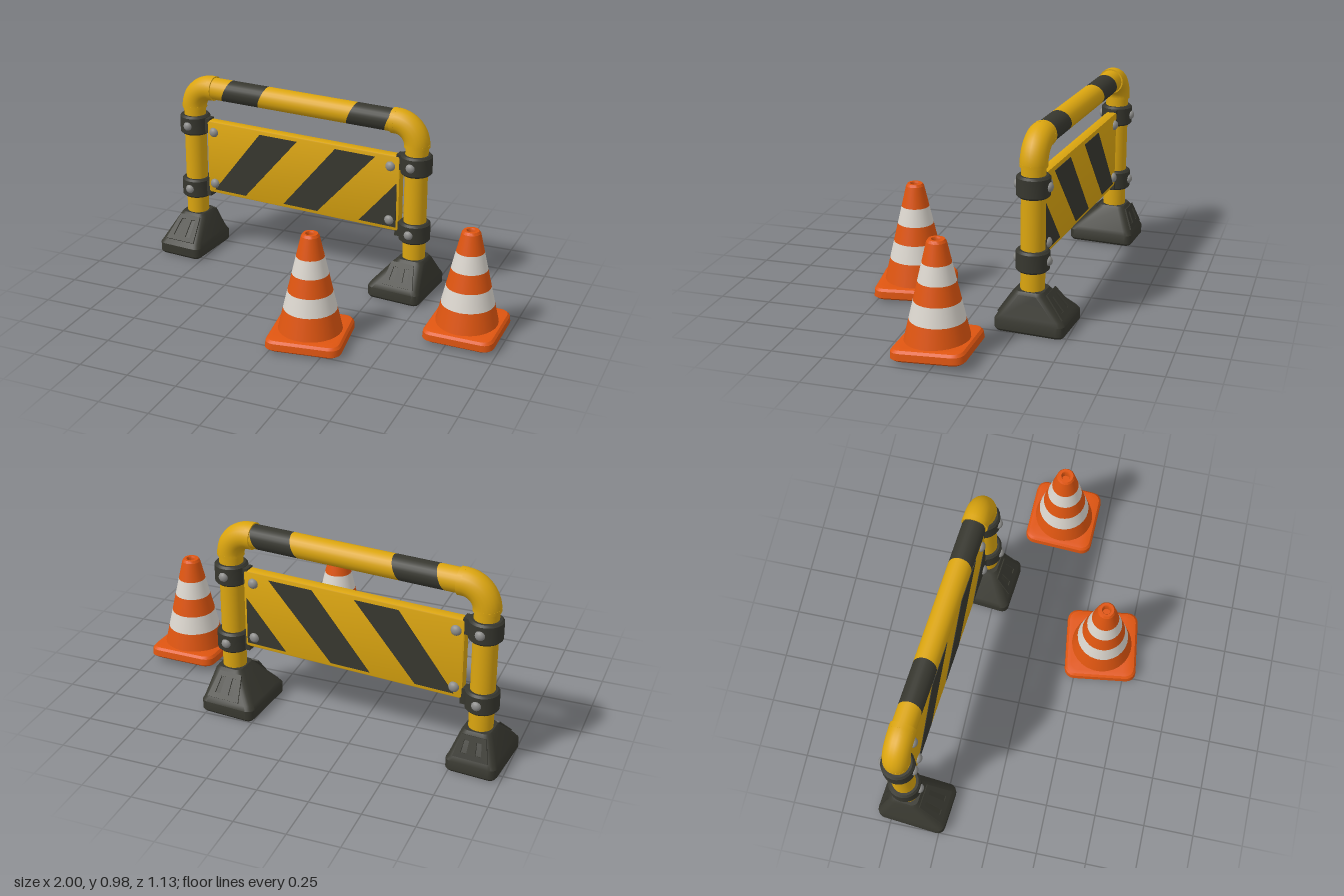
import * as THREE from 'three';
import { toCreasedNormals } from 'three/addons/utils/BufferGeometryUtils.js';

const mat = (name, color) => Object.assign(new THREE.MeshStandardMaterial({ color }), { name });
const yellow = mat('safety yellow', 0xdba50f);
const dark = mat('dark rubber', 0x37372f);
const orange = mat('cone orange', 0xdf5510);
const white = mat('reflective white', 0xdbd6ce);
const steel = mat('bolt steel', 0x8c8c8a);

function add(parent, name, geometry, material, x = 0, y = 0, z = 0) {
  const mesh = new THREE.Mesh(geometry, material);
  mesh.name = name;
  mesh.position.set(x, y, z);
  parent.add(mesh);
  return mesh;
}

function roundedRect(w, h, r) {
  const s = new THREE.Shape(), a = w / 2 - r, b = h / 2 - r, q = Math.PI / 2;
  s.absarc(a, b, r, 0, q);
  s.absarc(-a, b, r, q, 2 * q);
  s.absarc(-a, -b, r, 2 * q, 3 * q);
  s.absarc(a, -b, r, 3 * q, 4 * q);
  return s;
}

// Stack rounded rectangles [y, width, depth, radius, x, z] into a closed solid
function loft(rings) {
  const pos = [], idx = [];
  let n = 0;
  for (const [y, w, d, r, x, z] of rings) {
    const pts = [];
    for (const [sx, sz, k] of [[1, 1, 0], [-1, 1, 1], [-1, -1, 2], [1, -1, 3]])
      for (let i = 0; i <= 4; i++) {
        const a = (k + i / 4) * Math.PI / 2;
        pts.push([x + sx * (w / 2 - r) + r * Math.cos(a), y, z + sz * (d / 2 - r) + r * Math.sin(a)]);
      }
    n = pts.length;
    pos.push(...pts.flat());
  }
  for (let j = 0; j < rings.length - 1; j++)
    for (let i = 0; i < n; i++) {
      const a = j * n + i, b = j * n + (i + 1) % n;
      idx.push(a, a + n, b, b, a + n, b + n);
    }
  const top = (rings.length - 1) * n;
  for (let i = 1; i < n - 1; i++) idx.push(0, i, i + 1, top, top + i + 1, top + i);
  const g = new THREE.BufferGeometry();
  g.setAttribute('position', new THREE.Float32BufferAttribute(pos, 3));
  g.setIndex(idx);
  return toCreasedNormals(g, 0.6);
}

// Domed bolt head pointing along +z or -z
function bolt(parent, x, y, z, side, r) {
  const g = new THREE.SphereGeometry(r, 14, 6, 0, Math.PI * 2, 0, Math.PI / 2);
  g.scale(1, 0.8, 1).rotateX(side * Math.PI / 2);
  add(parent, 'bolt', g, steel, x, y, z);
}

function foot(parent, x, width, dx, dz) {
  const g = new THREE.Group();
  g.name = 'foot';
  g.position.x = x;
  parent.add(g);
  add(g, 'footBlock', loft([
    [0, width - 0.02, 0.325, 0.025, dx, dz],
    [0.012, width, 0.345, 0.035, dx, dz],
    [0.058, width, 0.345, 0.035, dx, dz],
    [0.078, width - 0.02, 0.32, 0.035, dx * 0.95, dz * 0.95],
    [0.188, 0.152, 0.155, 0.035, 0, 0],
    [0.202, 0.13, 0.135, 0.03, 0, 0],
  ]), dark);
  // Slotted skin on the front and back slopes
  for (const s of [-1, 1]) {
    const low = new THREE.Vector3(0, 0.082, dz * 0.92 + s * 0.155);
    const up = new THREE.Vector3(0, 0.186, s * 0.078).sub(low);
    const h = up.length();
    up.normalize();
    const across = new THREE.Vector3(s, 0, 0);
    const normal = across.clone().cross(up);
    const shape = new THREE.Shape([[-0.085, 0], [0.085, 0], [0.06, h], [-0.06, h]].map(p => new THREE.Vector2(...p)));
    for (const k of [-1, 1]) {
      const hole = new THREE.Path();
      hole.setFromPoints([[0.022, 0.025], [0.05, 0.025], [0.042, h - 0.025], [0.018, h - 0.025]]
        .map(p => new THREE.Vector2(k * p[0], p[1])));
      shape.holes.push(hole);
    }
    const skin = add(g, 'slottedSkin', new THREE.ExtrudeGeometry(shape, { depth: 0.008, bevelEnabled: false }), dark,
      dx * 0.5, low.y, low.z);
    skin.quaternion.setFromRotationMatrix(new THREE.Matrix4().makeBasis(across, up, normal));
  }
  const plug = add(g, 'postEnd', new THREE.CircleGeometry(0.05, 20), yellow, 0, -0.001, 0);
  plug.rotation.x = Math.PI / 2;
}

function barrier() {
  const g = new THREE.Group();
  g.name = 'barrier';
  const half = 0.645, bend = 0.11, railY = 0.91, pipe = 0.058;

  // Posts, elbows and clamps
  const clampProfile = [[0.05, -0.052], [0.07, -0.052], [0.08, -0.042], [0.08, 0.042], [0.07, 0.052], [0.05, 0.052]]
    .map(p => new THREE.Vector2(...p));
  for (const s of [-1, 1]) {
    const x = s * half;
    add(g, 'post', new THREE.CylinderGeometry(pipe, pipe, 0.64, 24), yellow, x, 0.49, 0);
    const arc = new THREE.TorusGeometry(bend, 0.065, 20, 14, Math.PI / 2);
    if (s < 0) arc.rotateZ(Math.PI / 2);
    add(g, 'elbow', arc, yellow, s * (half - bend), railY - bend, 0);
    add(g, 'elbowCollar', new THREE.CylinderGeometry(0.065, 0.065, 0.015, 24), yellow, x, railY - bend, 0);
    add(g, 'elbowCollar', new THREE.CylinderGeometry(0.065, 0.065, 0.025, 24).rotateZ(Math.PI / 2), yellow,
      s * (half - bend - 0.008), railY, 0);
    for (const y of [0.345, 0.703]) {
      add(g, 'clamp', toCreasedNormals(new THREE.LatheGeometry(clampProfile, 24), 0.5), dark, x, y, 0);
      add(g, 'clampLug', new THREE.BoxGeometry(0.05, 0.08, 0.05), dark, s * (half - 0.075), y, 0);
      for (const k of [-1, 1]) bolt(g, x, y, k * 0.076, k, 0.024);
    }
  }
  foot(g, -half, 0.25, 0, 0.04);
  foot(g, half, 0.285, -0.045, -0.01);

  // Top rail in slanted colour bands
  const cuts = [-0.545, -0.435, -0.22, 0.29, 0.5, 0.545];
  for (let i = 0; i < 5; i++) {
    const len = cuts[i + 1] - cuts[i];
    const geo = new THREE.CylinderGeometry(pipe, pipe, len, 24).rotateZ(Math.PI / 2);
    const p = geo.attributes.position;
    for (let j = 0; j < p.count; j++) p.setX(j, p.getX(j) + 0.4 * p.getY(j));
    add(g, 'railBand', geo, i % 2 ? dark : yellow, (cuts[i] + cuts[i + 1]) / 2, railY, 0);
  }

  // Board with stripes on both faces
  const board = new THREE.ExtrudeGeometry(roundedRect(1.11, 0.392, 0.008),
    { depth: 0.04, bevelThickness: 0.006, bevelSize: 0.006, bevelSegments: 2 });
  add(g, 'board', toCreasedNormals(board, 0.5), yellow, 0.005, 0.532, -0.02);
  const stripes = [
    [[-0.515, 0.35], [-0.325, 0.35], [-0.015, 0.71], [-0.235, 0.71]],
    [[-0.095, 0.35], [0.105, 0.35], [0.43, 0.71], [0.205, 0.71]],
    [[0.345, 0.35], [0.552, 0.35], [0.552, 0.59]],
  ];
  for (const pts of stripes) {
    const shape = new THREE.Shape(pts.map(p => new THREE.Vector2(...p)));
    const geo = new THREE.ExtrudeGeometry(shape, { depth: 0.004, bevelEnabled: false });
    for (const z of [0.025, -0.029]) add(g, 'boardStripe', geo, dark, 0, 0, z);
  }
  for (const x of [-0.515, 0.515]) for (const y of [0.385, 0.675]) for (const k of [-1, 1])
    bolt(g, x, y, k * 0.026, k, 0.026);

  g.position.set(-0.223, 0.002, -0.37);
  g.rotation.y = -0.089;
  return g;
}

function cone(x, z, turn, tilt, lift, height, size) {
  const g = new THREE.Group();
  g.name = 'trafficCone';
  // Square base plate
  const t = 0.06, w = size / 2;
  const base = add(g, 'coneBase', loft([
    [0, size - 0.03, size - 0.03, 0.04, 0, 0],
    [0.012, size, size, 0.05, 0, 0],
    [t - 0.016, size - 0.005, size - 0.005, 0.05, 0, 0],
    [t - 0.004, size - 0.025, size - 0.025, 0.045, 0, 0],
    [t, size - 0.06, size - 0.06, 0.04, 0, 0],
  ]), orange, 0, lift + w * Math.sin(tilt), 0);
  base.rotation.x = tilt;
  // Tapered body in colour bands
  const radius = y => 0.155 - (y - 0.07) * 0.232;
  const levels = [0.045, 0.178, 0.268, 0.358, 0.445, height - 0.012];
  for (let i = 0; i < 5; i++) {
    const [a, b] = [levels[i], levels[i + 1]];
    add(g, 'coneBand', new THREE.CylinderGeometry(radius(b), radius(a), b - a, 28, 1, true),
      i % 2 ? white : orange, 0, (a + b) / 2, 0);
  }
  // Rounded rim with a sunken hole
  const r = radius(height - 0.012);
  const rim = [[r, height - 0.012], [r - 0.008, height], [0.024, height], [0.02, height - 0.008],
    [0.02, height - 0.04], [0, height - 0.04]].map(p => new THREE.Vector2(...p));
  add(g, 'coneRim', toCreasedNormals(new THREE.LatheGeometry(rim, 28), 0.6), orange);
  g.position.set(x, 0, z);
  g.rotation.y = turn;
  return g;
}

export function createModel() {
  const model = new THREE.Group();
  model.name = 'roadBarrierSet';
  model.add(barrier());
  model.add(cone(0.137, 0.36, 0.14, 0, 0.008, 0.56, 0.37));
  model.add(cone(0.81, 0.02, -0.02, 0.06, 0.012, 0.553, 0.355));
  return model;
}
